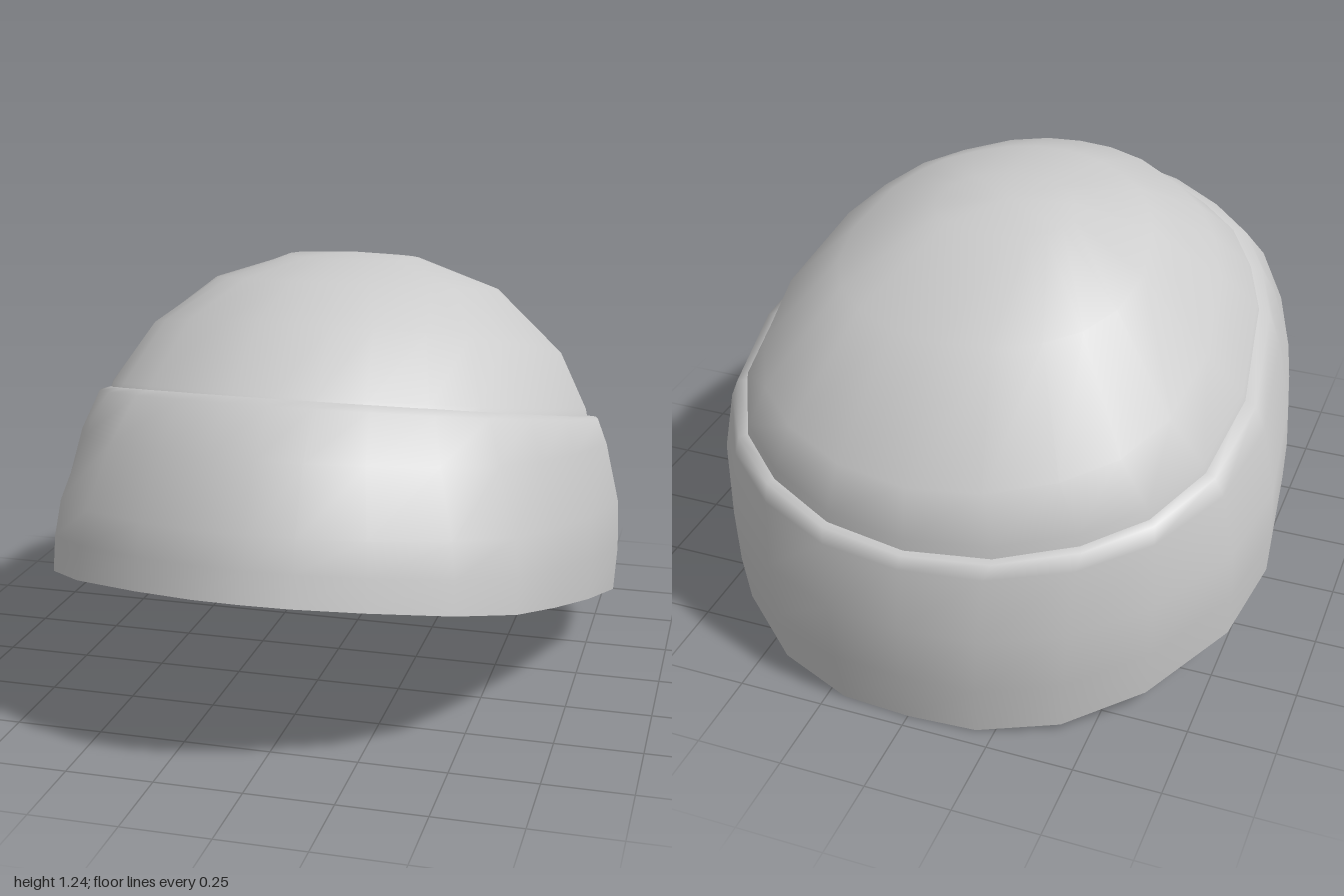
import * as THREE from 'three';
import { mergeVertices } from 'three/addons/utils/BufferGeometryUtils.js';

// Half outlines [x, z] from front centre round to back centre
const HEM = [[0, 1], [0.13, 0.99], [0.31, 0.93], [0.52, 0.82], [0.66, 0.66], [0.73, 0.42], [0.79, 0.13],
  [0.83, -0.22], [0.78, -0.46], [0.615, -0.71], [0.42, -0.87], [0.2, -0.95], [0, -0.96]];
const SEAM = [[0, 0.69], [0.12, 0.68], [0.25, 0.64], [0.4, 0.55], [0.52, 0.45], [0.61, 0.31], [0.68, 0.14],
  [0.735, -0.22], [0.7, -0.5], [0.6, -0.69], [0.45, -0.82], [0.24, -0.92], [0, -0.955]];

// Scale an outline to half width 1 and depth 0 (back) to 1 (front)
function normalise(outline) {
  const w = Math.max(...outline.map(p => p[0]));
  const front = outline[0][1], back = outline[outline.length - 1][1];
  return outline.map(([x, z]) => [x / w, (z - back) / (front - back)]);
}
const hem = normalise(HEM), seam = normalise(SEAM);

// Tilted closed loop: [frontZ, frontY, backZ, backY, halfWidth, blend from hem to seam outline]
function loop([fz, fy, bz, by, w, k]) {
  const { lerp } = THREE.MathUtils;
  const half = hem.map(([x, t], i) => {
    const v = lerp(t, seam[i][1], k);
    return [w * lerp(x, seam[i][0], k), lerp(by, fy, v), lerp(bz, fz, v)];
  });
  const mirrored = half.slice(1, -1).reverse().map(([x, y, z]) => [-x, y, z]);
  return [...half, ...mirrored];
}

// Skin a stack of loops, from bottom to top
function skin(rings) {
  const loops = rings.map(loop), n = loops[0].length, index = [];
  for (let i = 0; i < loops.length - 1; i++) {
    for (let j = 0; j < n; j++) {
      const a = i * n + j, b = i * n + (j + 1) % n;
      index.push(a, b, b + n, a, b + n, a + n);
    }
  }
  return build(loops.flat(2), index);
}

function build(positions, index) {
  let g = new THREE.BufferGeometry();
  g.setAttribute('position', new THREE.Float32BufferAttribute(positions, 3));
  g.setIndex(index);
  g = mergeVertices(g);
  g.computeVertexNormals();
  return g;
}

export function createModel() {
  const group = new THREE.Group();
  group.name = 'knitCap';
  const material = new THREE.MeshStandardMaterial({ color: 0xcccccc, side: THREE.DoubleSide });
  const add = (name, geometry) => {
    const mesh = new THREE.Mesh(geometry, material);
    mesh.name = name;
    group.add(mesh);
  };

  const hemRing = [1, 0.53, -0.96, 0, 0.83, 0];

  // Folded cuff, rolled inward at its upper edge
  add('cuff', skin([
    hemRing,
    [0.978, 0.615, -0.985, 0.16, 0.837, 0.1],
    [0.95, 0.7, -1, 0.34, 0.832, 0.25],
    [0.86, 0.87, -0.985, 0.53, 0.79, 0.6],
    [0.74, 0.985, -0.965, 0.562, 0.76, 0.9],
    [0.69, 0.995, -0.93, 0.565, 0.72, 1],
  ]));

  // Rounded crown rising out of the cuff
  add('crown', skin([
    [0.72, 0.965, -0.945, 0.53, 0.735, 1],
    [0.69, 1.0, -0.942, 0.6, 0.722, 1],
    [0.48, 1.15, -0.92, 0.75, 0.63, 1],
    [0.25, 1.22, -0.67, 1.045, 0.43, 1],
    [0, 1.24, -0.33, 1.205, 0.2, 1],
    [-0.16, 1.238, -0.16, 1.238, 0, 1],
  ]));

  // Flat underside closing the hem
  const rim = loop(hemRing), n = rim.length, index = [];
  for (let j = 0; j < n; j++) index.push(n, (j + 1) % n, j);
  add('underside', build([...rim.flat(), 0, 0.265, 0.02], index));

  return group;
}
